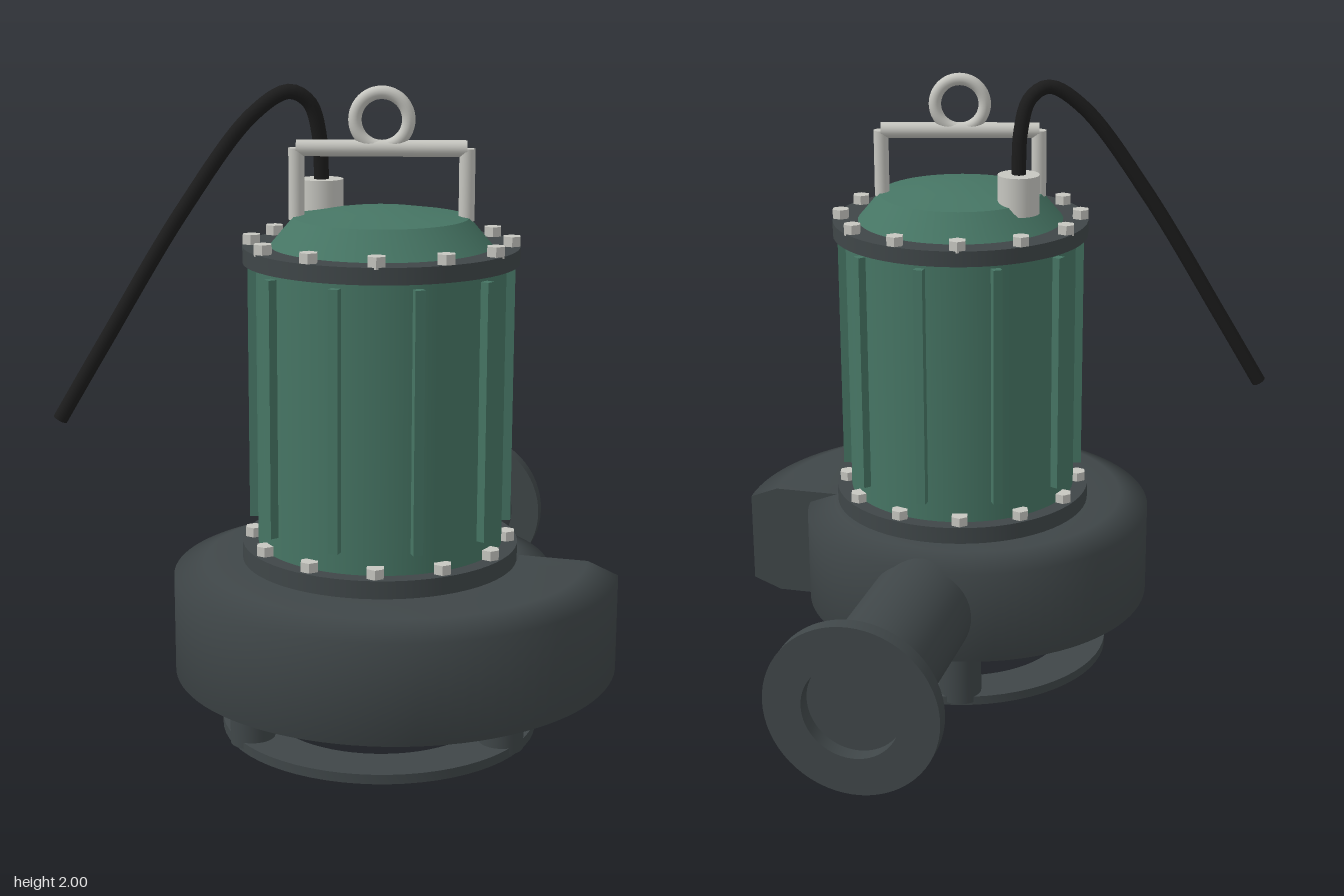
import * as THREE from 'three';
import { toCreasedNormals } from 'three/addons/utils/BufferGeometryUtils.js';

const mat = (name, color) => {
  const m = new THREE.MeshStandardMaterial({ color });
  m.name = name;
  return m;
};

export function createModel() {
  const iron = mat('cast iron grey', 0x3f4648);
  const green = mat('motor green', 0x467564);
  const steel = mat('pale steel', 0xc6c6c0);
  const rubber = mat('black rubber', 0x1c1c1c);

  const root = new THREE.Group();
  root.name = 'submersiblePump';
  const pump = new THREE.Group();
  pump.name = 'pumpBody';
  pump.position.set(0.139, 0, 0.292);
  root.add(pump);

  const add = (parent, name, geo, material, x = 0, y = 0, z = 0) => {
    const mesh = new THREE.Mesh(geo, material);
    mesh.name = name;
    mesh.position.set(x, y, z);
    parent.add(mesh);
    return mesh;
  };
  // upright cylinder between two heights
  const post = (name, r, y0, y1, material, x = 0, z = 0, sides = 48) =>
    add(pump, name, new THREE.CylinderGeometry(r, r, y1 - y0, sides), material, x, (y0 + y1) / 2, z);
  // flat ring with its thickness along +z
  const ring = (outer, inner, depth) => {
    const s = new THREE.Shape().absarc(0, 0, outer, 0, Math.PI * 2);
    s.holes.push(new THREE.Path().absarc(0, 0, inner, 0, Math.PI * 2, true));
    return toCreasedNormals(
      new THREE.ExtrudeGeometry(s, { depth, bevelEnabled: false, curveSegments: 32 }), 0.5);
  };

  // base ring and three legs
  add(pump, 'baseRing', ring(0.495, 0.345, 0.03), iron).rotation.x = -Math.PI / 2;
  for (let i = 0; i < 3; i++) {
    const a = Math.PI / 2 + (i * Math.PI * 2) / 3;
    post('leg', 0.069, 0.01, 0.2, iron, Math.cos(a) * 0.44, -Math.sin(a) * 0.44, 32);
  }

  // spiral casing and its flat end face
  add(pump, 'spiralCasing', spiral(false), iron);
  add(pump, 'spiralEndFace', spiral(true), iron);

  // outlet pipe, pointing backwards
  const outlet = new THREE.Group();
  outlet.name = 'outlet';
  outlet.position.set(0.436, 0.362, -0.907);
  outlet.rotation.y = Math.PI - 0.253;
  root.add(outlet);
  add(outlet, 'outletFlange', ring(0.272, 0.152, 0.05), iron, 0, 0, -0.05);
  add(outlet, 'outletPipe', new THREE.CylinderGeometry(0.172, 0.172, 0.77, 48), iron, 0, 0, -0.435)
    .rotation.x = Math.PI / 2;

  // motor housing with flanges
  post('lowerFlange', 0.427, 0.54, 0.605, iron, 0, 0, 64);
  post('motorHousing', 0.378, 0.6, 1.48, green, 0, 0, 64);
  post('upperFlange', 0.418, 1.475, 1.525, iron, 0, 0, 64);

  // cooling ribs
  for (let i = 0; i < 10; i++) {
    const a = (i * Math.PI) / 5;
    add(pump, 'coolingRib', new THREE.BoxGeometry(0.05, 0.785, 0.03), green,
      Math.cos(a) * 0.379, 1.063, -Math.sin(a) * 0.379).rotation.y = a;
  }

  // hexagonal bolts on both flanges
  for (const y of [0.6, 1.52]) {
    for (let i = 0; i < 12; i++) {
      const a = (i * Math.PI) / 6;
      const bolt = post('bolt', 0.029, y, y + 0.035, steel, Math.cos(a) * 0.392, Math.sin(a) * 0.392, 6);
      bolt.geometry = toCreasedNormals(bolt.geometry, 0.5);
    }
  }

  // domed cap
  const dome = [[0.34, 1.52], [0.316, 1.548], [0.264, 1.61], [0.14, 1.63], [0, 1.644]]
    .map(([r, y]) => new THREE.Vector2(r, y));
  add(pump, 'domedCap', toCreasedNormals(new THREE.LatheGeometry(dome, 64), 0.4), green);

  // lifting handle with ring
  for (const s of [-1, 1]) post('handlePost', 0.024, 1.6, 1.815, steel, s * 0.255, 0, 24);
  add(pump, 'handleBar', new THREE.CylinderGeometry(0.025, 0.025, 0.51, 24), steel, 0, 1.815, 0)
    .rotation.z = Math.PI / 2;
  add(pump, 'liftingRing', new THREE.TorusGeometry(0.08, 0.02, 16, 48), steel, 0, 1.9, 0);

  // cable gland and cable
  post('cableGland', 0.067, 1.58, 1.705, steel, -0.189, -0.152, 32);
  const path = new THREE.CatmullRomCurve3([
    [-0.05, 1.66, 0.14], [-0.056, 1.84, 0.155], [-0.085, 1.94, 0.173], [-0.145, 1.974, 0.195],
    [-0.255, 1.905, 0.212], [-0.466, 1.62, 0.237], [-0.72, 1.2, 0.262], [-0.858, 0.966, 0.276],
  ].map((p) => new THREE.Vector3(...p)));
  add(root, 'cable', new THREE.TubeGeometry(path, 80, 0.023, 12), rubber);
  const end = add(root, 'cableEnd', new THREE.CircleGeometry(0.023, 12), rubber);
  end.position.copy(path.getPoint(1));
  end.lookAt(path.getPoint(1).add(path.getTangent(1)));

  return root;
}

// Casing cross-sections swept around the axis with a growing radius.
function spiral(capOnly) {
  const N = 96, start = -0.08, stop = Math.PI * 2 - 0.08, tilt = 0.23;
  const section = (i) => {
    const a = start + ((stop - start) * i) / N;
    const R = 0.525 + (0.215 * i) / N;
    const t = i === N ? -tilt : a; // the last section is skewed
    return [[0, 0.55], [0.38, 0.55], [R - 0.095, 0.55], [R, 0.512],
      [R, 0.205], [R - 0.095, 0.168], [0.38, 0.168], [0, 0.168]].map(([r, y]) => [
      R * Math.cos(a) + (r - R) * Math.cos(t), y, -R * Math.sin(a) - (r - R) * Math.sin(t)]);
  };
  const pos = [], index = [], M = 8;
  if (capOnly) {
    pos.push(...section(N).flat());
    for (let j = 1; j < M - 1; j++) index.push(0, j, j + 1);
  } else {
    for (let i = 0; i <= N; i++) {
      pos.push(...section(i).flat());
      for (let j = 0; i < N && j < M - 1; j++) {
        const a = i * M + j, c = a + M;
        index.push(a, a + 1, c, a + 1, c + 1, c);
      }
    }
  }
  const g = new THREE.BufferGeometry();
  g.setAttribute('position', new THREE.Float32BufferAttribute(pos, 3));
  g.setIndex(index);
  g.computeVertexNormals();
  return g;
}
